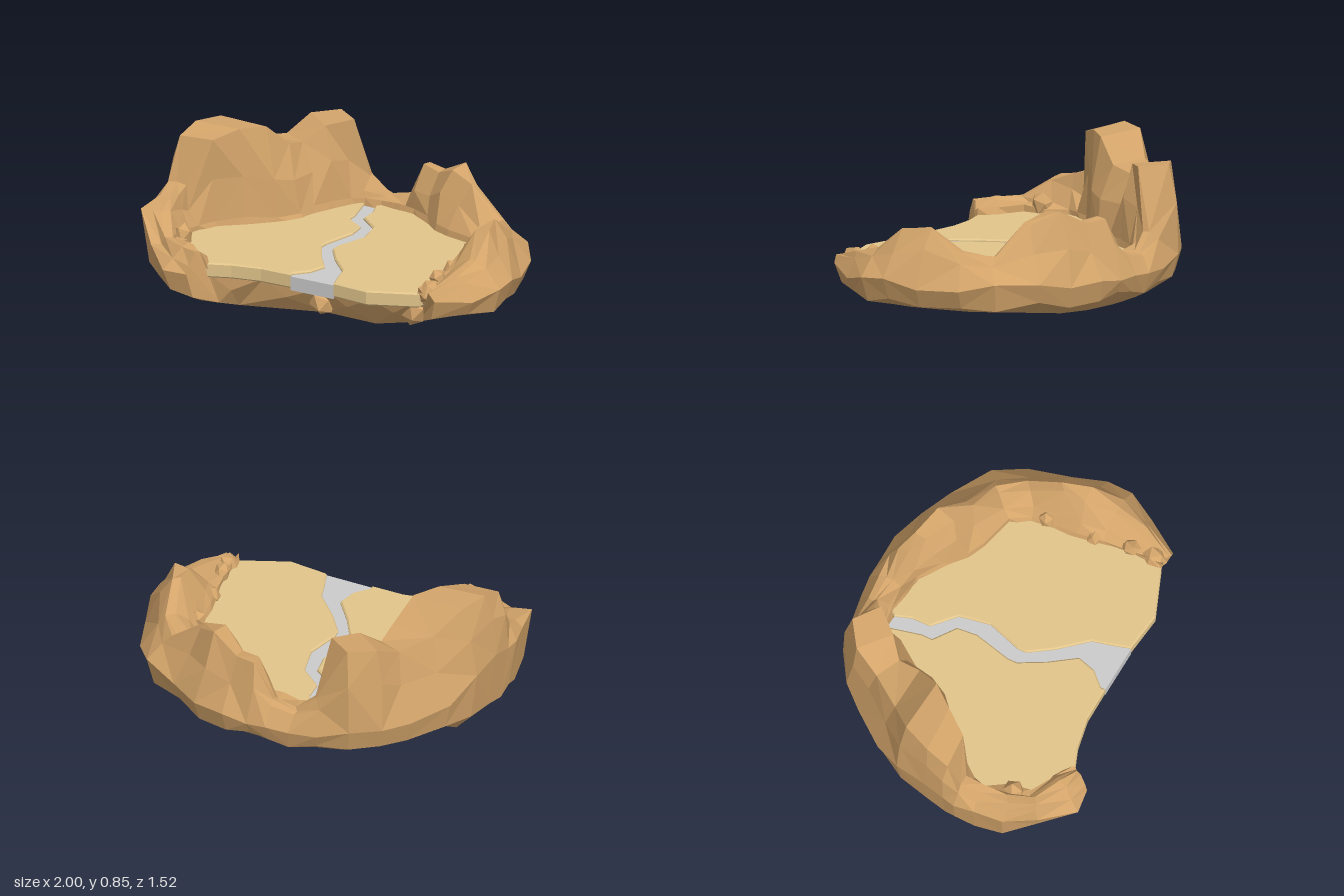
import * as THREE from 'three';

// Rim stations, clockwise from the front of one arm to the other:
// outer x, outer z, inner x, inner z, ridge height
const RIM = [
  [-0.57, 0.75, -0.50, 0.64, 0.42], [-0.70, 0.76, -0.57, 0.55, 0.43], [-0.85, 0.60, -0.72, 0.50, 0.41],
  [-0.98, 0.46, -0.72, 0.38, 0.50], [-0.99, 0.30, -0.78, 0.27, 0.55], [-1.00, 0.19, -0.77, 0.20, 0.58],
  [-0.98, 0.12, -0.70, 0.11, 0.82], [-0.96, 0.00, -0.58, 0.02, 0.86], [-0.92, -0.17, -0.45, -0.10, 0.85],
  [-0.83, -0.32, -0.36, -0.20, 0.73], [-0.68, -0.50, -0.35, -0.30, 0.70], [-0.57, -0.62, -0.31, -0.40, 0.79],
  [-0.42, -0.71, -0.25, -0.50, 0.79], [-0.25, -0.745, -0.21, -0.56, 0.48], [-0.10, -0.76, -0.12, -0.56, 0.38],
  [0.02, -0.765, 0.00, -0.53, 0.41], [0.13, -0.755, 0.10, -0.50, 0.60], [0.27, -0.74, 0.20, -0.42, 0.60],
  [0.45, -0.67, 0.30, -0.33, 0.66], [0.60, -0.58, 0.40, -0.28, 0.60], [0.80, -0.44, 0.57, -0.23, 0.45],
  [0.90, -0.28, 0.61, -0.12, 0.48], [0.96, -0.05, 0.62, 0.00, 0.58], [1.00, 0.13, 0.63, 0.10, 0.57],
  [1.00, 0.27, 0.66, 0.25, 0.46], [0.92, 0.42, 0.69, 0.42, 0.42], [0.79, 0.60, 0.68, 0.58, 0.37],
];

// Banks of the path, back to front
const BANK_A = [[-0.21, -0.56], [-0.17, -0.38], [-0.17, -0.32], [-0.06, -0.23], [-0.05, -0.12], [-0.10, 0.08],
  [-0.10, 0.13], [-0.03, 0.27], [0.06, 0.41], [0.03, 0.51], [-0.04, 0.58], [-0.04, 0.605]];
const BANK_B = [[-0.14, -0.55], [-0.11, -0.46], [-0.11, -0.36], [0.00, -0.25], [0.01, -0.20], [0.03, -0.08],
  [-0.03, 0.10], [-0.03, 0.15], [0.05, 0.28], [0.17, 0.43], [0.19, 0.52], [0.22, 0.63]];

const { lerp, clamp, smoothstep } = THREE.MathUtils;
const across = ([ox, oz, ix, iz], t) => [lerp(ox, ix, t), lerp(oz, iz, t)];

let seed = 11;
const jitter = (a) => {
  seed = (seed * 16807) % 2147483647;
  return (seed / 2147483647 - 0.5) * 2 * a;
};

// Cross-section of the rim, from underside over the ridge to the inner foot
function section(s, i) {
  const [ox, oz, , , h] = s;
  const tall = clamp((h - 0.6) / 0.2, 0, 1);
  const wide = 0.3 + 0.2 * smoothstep(-ox, 0.8, 0.95);
  const dips = { 5: 0.03, 6: 0.06, 7: 0, 8: 0.09 };
  const point = (t, y, a, b = a) => {
    const [x, z] = across(s, t);
    return [x + jitter(a), y + jitter(b), z + jitter(a)];
  };
  const ridgeOut = 0.42 - 0.26 * tall, ridgeIn = 0.58 + 0.22 * tall;
  const scale = i === 7 ? 0.77 : 0.8;
  return [
    [ox * scale, dips[i] ?? 0.115 + 0.03 * smoothstep(ox, 0.4, 0.8), oz * scale],
    [ox * 0.96, 0.19 + jitter(0.025), oz * 0.96],
    [ox, wide + jitter(0.03), oz],
    point(ridgeOut * 0.55, lerp(wide, h, 0.55), 0.015, 0.03),
    point(ridgeOut, h - 0.01, 0.015, 0.01),
    point(ridgeIn, h - 0.01, 0.02, 0.012),
    point(lerp(ridgeIn, 1, 0.45), lerp(h, 0.34, 0.5), 0.02, 0.03),
    point(0.93, 0.37, 0.015, 0.01),
    point(1, 0.29, 0.005),
  ];
}

function rockGeometry() {
  const rows = RIM.map(section);
  const pos = [];
  const tri = (...p) => p.forEach((v) => pos.push(...v));
  const quad = (a, b, c, d, flip) => {
    if (flip) { tri(a, b, d); tri(b, c, d); } else { tri(a, b, c); tri(a, c, d); }
  };
  // Rim skin
  for (let i = 0; i < rows.length - 1; i++) {
    for (let j = 0; j < rows[i].length - 1; j++) {
      quad(rows[i][j], rows[i + 1][j], rows[i + 1][j + 1], rows[i][j + 1], (i * 3 + j * 5) % 4 < 2);
    }
  }
  // Arm ends
  const first = rows[0], last = rows[rows.length - 1];
  for (let j = 1; j < first.length - 1; j++) {
    tri(first[0], first[j], first[j + 1]);
    tri(last[0], last[j + 1], last[j]);
  }
  // Craggy wall below the front edge of the ground
  const wall = [last.at(-1), [0.42, 0.27, 0.60], [0.12, 0.27, 0.56], [-0.22, 0.27, 0.55], first.at(-1)];
  const foot = [last[0], [0.40, 0.105, 0.50], [0.10, 0.11, 0.47], [-0.38, 0.09, 0.52], first[0]];
  for (let i = 0; i < wall.length - 1; i++) {
    const mid = [wall[i], wall[i + 1], foot[i], foot[i + 1]]
      .reduce((m, p) => m.map((v, k) => v + p[k] / 4), [0, 0, 0]);
    mid[2] += 0.02;
    [[wall[i], wall[i + 1]], [wall[i + 1], foot[i + 1]], [foot[i + 1], foot[i]], [foot[i], wall[i]]]
      .forEach(([a, b]) => tri(a, b, mid));
  }
  // Underside
  const ring = [...rows.map((r) => r[0]), ...foot.slice(1, -1)];
  ring.forEach((p, i) => tri(p, [0, 0.11, 0], ring[(i + 1) % ring.length]));

  const geo = new THREE.BufferGeometry();
  geo.setAttribute('position', new THREE.Float32BufferAttribute(pos, 3));
  geo.computeVertexNormals();
  return geo;
}

// Flat slab from an x/z outline, with its top at the given height
function slab(outline, top, depth, bevel) {
  const shape = new THREE.Shape(outline.map(([x, z]) => new THREE.Vector2(x, z)));
  const geo = new THREE.ExtrudeGeometry(shape, {
    depth: depth - 2 * bevel, bevelEnabled: bevel > 0, bevelThickness: bevel,
    bevelSize: bevel, bevelOffset: -bevel, bevelSegments: 1,
  });
  return geo.rotateX(Math.PI / 2).translate(0, top - bevel, 0);
}

export function createModel() {
  seed = 11;
  const model = new THREE.Group();
  const rock = new THREE.MeshStandardMaterial({ color: 0xd3a46a, flatShading: true, side: THREE.DoubleSide });
  const sand = new THREE.MeshStandardMaterial({ color: 0xe2c58b, flatShading: true });
  const grey = new THREE.MeshStandardMaterial({ color: 0xcccccc, flatShading: true });
  const add = (name, geo, mat) => {
    const mesh = new THREE.Mesh(geo, mat);
    mesh.name = name;
    model.add(mesh);
    return mesh;
  };

  add('rockRim', rockGeometry(), rock);

  // Sandy ground on both sides of the path, tucked under the rim
  const edge = RIM.map((s) => across(s, 0.1 + 0.8));
  add('groundRight', slab([...edge.slice(0, 14), ...BANK_A, [-0.22, 0.59], [-0.38, 0.61]], 0.34, 0.08, 0.008), sand);
  add('groundLeft', slab([...[...BANK_B].reverse(), ...edge.slice(14), [0.43, 0.67]], 0.34, 0.08, 0.008), sand);
  add('path', slab([...BANK_A, ...[...BANK_B].reverse()], 0.325, 0.075, 0), grey);

  // Loose boulders along the rim and under the front edge: x, y, z, radius
  [[0.69, 0.35, 0.20, 0.05], [0.71, 0.37, 0.40, 0.05], [0.72, 0.34, 0.53, 0.06], [0.67, 0.37, -0.06, 0.05],
    [-0.76, 0.38, 0.42, 0.06], [0.09, 0.18, 0.50, 0.07], [0.63, 0.21, 0.51, 0.07]].forEach(([x, y, z, r], i) => {
    const boulder = add('boulder', new THREE.IcosahedronGeometry(r, 0), rock);
    boulder.position.set(x, y, z);
    boulder.rotation.set(i, i * 2, i * 3);
    boulder.scale.set(1, 1.2, 0.9);
  });
  return model;
}
